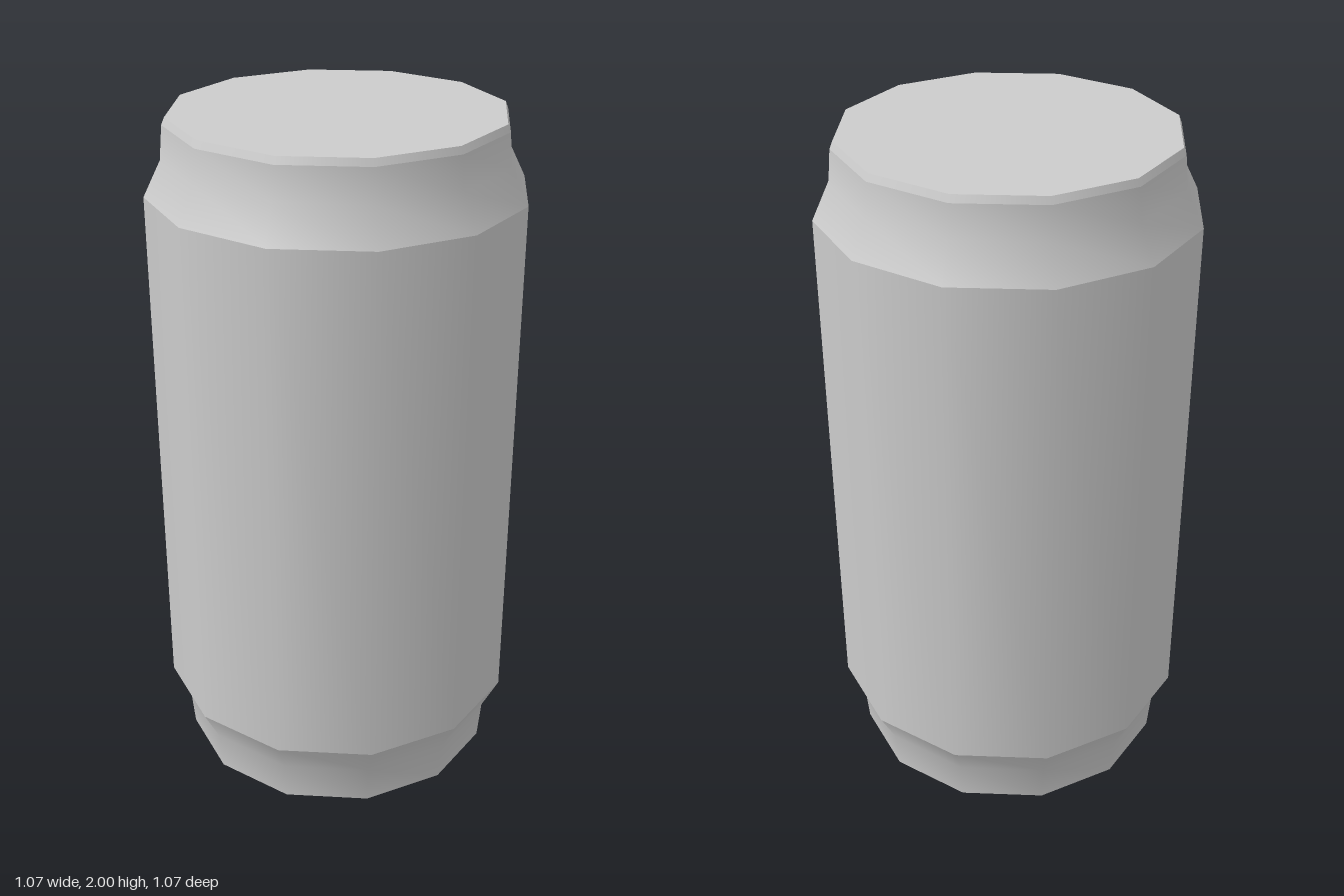
import * as THREE from 'three';

const SIDES = 12;
const material = new THREE.MeshStandardMaterial({ color: 0xcccccc, side: THREE.DoubleSide });

// One smooth band of the can; separate bands keep the rings between them sharp
function band(name, profile) {
  const points = profile.map(([r, y]) => new THREE.Vector2(r, y));
  const mesh = new THREE.Mesh(new THREE.LatheGeometry(points, SIDES), material);
  mesh.name = name;
  return mesh;
}

export function createModel() {
  const can = new THREE.Group();
  can.name = 'can';

  can.add(
    // Tapered foot, open underneath
    band('lowerNeck', [[0.476, 0], [0.487, 0.12], [0.537, 0.22]]),
    // Straight wall
    band('body', [[0.537, 0.22], [0.537, 1.785]]),
    // Shoulder and neck
    band('upperNeck', [[0.537, 1.785], [0.487, 1.885], [0.478, 1.98]]),
    // Small bevel around the lid
    band('rim', [[0.478, 1.98], [0.47, 2]])
  );

  // Flat lid
  const lid = new THREE.Mesh(new THREE.CircleGeometry(0.47, SIDES), material);
  lid.name = 'lid';
  lid.rotation.x = -Math.PI / 2;
  lid.position.y = 2;
  can.add(lid);

  return can;
}
